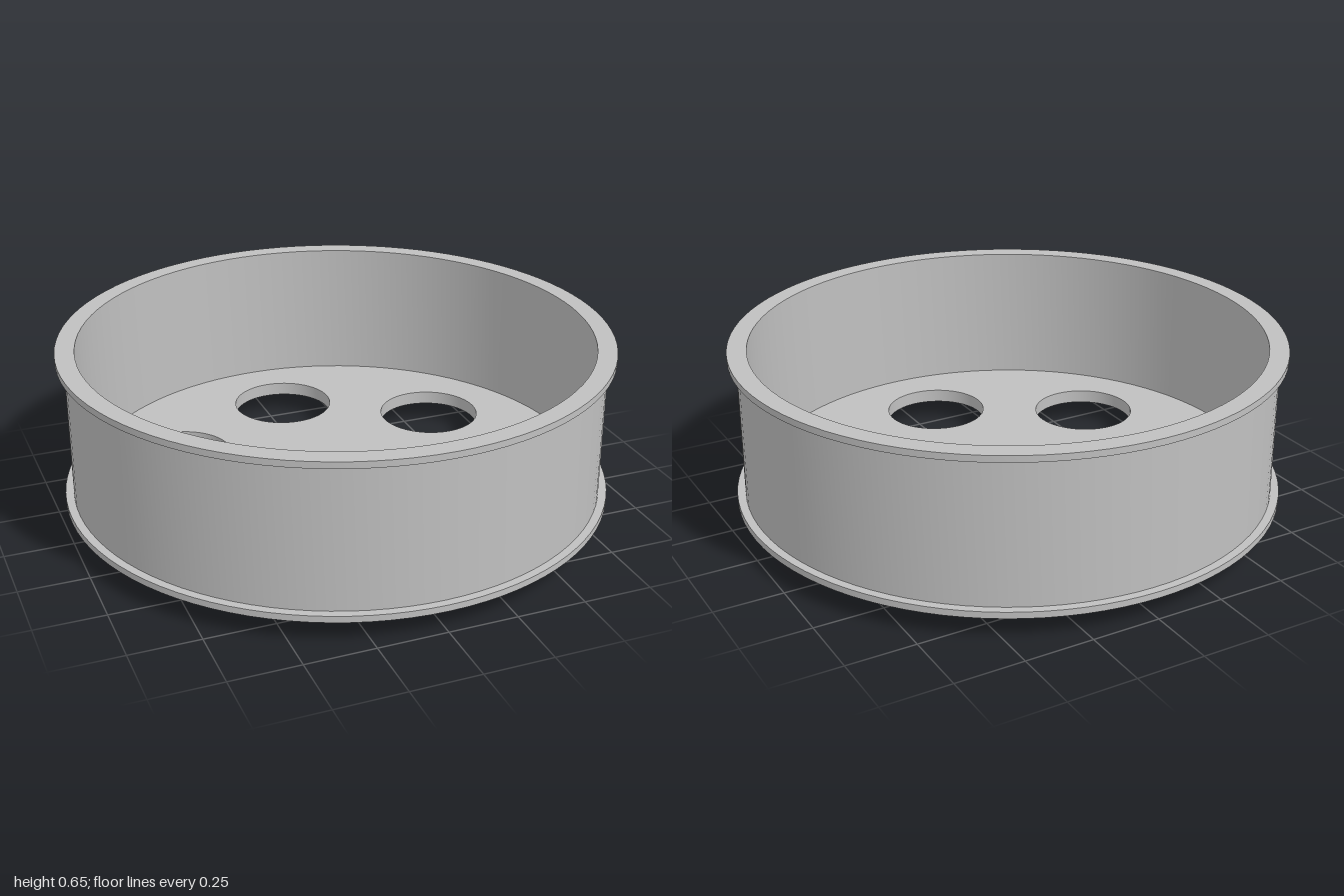
import * as THREE from 'three';
import { toCreasedNormals } from 'three/addons/utils/BufferGeometryUtils.js';

const FLOOR_BOTTOM = 0.08, FLOOR_TOP = 0.13, INNER_RADIUS = 0.93;

function circle(PathType, x, y, r) {
  return new PathType().absarc(x, y, r, 0, Math.PI * 2, false);
}

// D-shaped shaft bore with its flat on +x
function bore() {
  const r = 0.075, a = Math.acos(0.063 / r);
  const path = new THREE.Path();
  path.absarc(0, 0, r, a, Math.PI * 2 - a, false);
  path.closePath();
  return path;
}

// Horizontal plate from a shape, standing between two heights
function plate(name, shape, y0, y1, material) {
  let geometry = new THREE.ExtrudeGeometry(shape, { depth: y1 - y0, bevelEnabled: false, curveSegments: 48 });
  geometry.rotateX(-Math.PI / 2);
  geometry.translate(0, y0, 0);
  geometry = toCreasedNormals(geometry, 0.6);
  const mesh = new THREE.Mesh(geometry, material);
  mesh.name = name;
  return mesh;
}

export function createModel() {
  const group = new THREE.Group();
  group.name = 'wheel';
  const grey = new THREE.MeshStandardMaterial({ color: 0xc0c0c0 });
  grey.name = 'grey';

  // Rim barrel with a thin flange at each edge
  const profile = [
    [INNER_RADIUS, FLOOR_BOTTOM], [1, FLOOR_BOTTOM], [1, 0.104], [0.97, 0.104],
    [0.97, 0.626], [1, 0.626], [1, 0.65], [INNER_RADIUS, 0.65], [INNER_RADIUS, FLOOR_TOP],
  ].map(([r, y]) => new THREE.Vector2(r, y));
  const rim = new THREE.Mesh(toCreasedNormals(new THREE.LatheGeometry(profile, 96), 0.6), grey);
  rim.name = 'rim';
  group.add(rim);

  // Floor with six round holes and the bore
  const floorShape = circle(THREE.Shape, 0, 0, INNER_RADIUS);
  for (let i = 0; i < 6; i++) {
    const a = Math.PI / 6 + i * Math.PI / 3;
    floorShape.holes.push(circle(THREE.Path, 0.595 * Math.cos(a), 0.595 * Math.sin(a), 0.191));
  }
  floorShape.holes.push(bore());
  group.add(plate('floor', floorShape, FLOOR_BOTTOM, FLOOR_TOP, grey));

  // Hub boss under the floor
  const hubShape = circle(THREE.Shape, 0, 0, 0.215);
  hubShape.holes.push(bore());
  group.add(plate('hub', hubShape, 0, FLOOR_BOTTOM, grey));

  return group;
}
